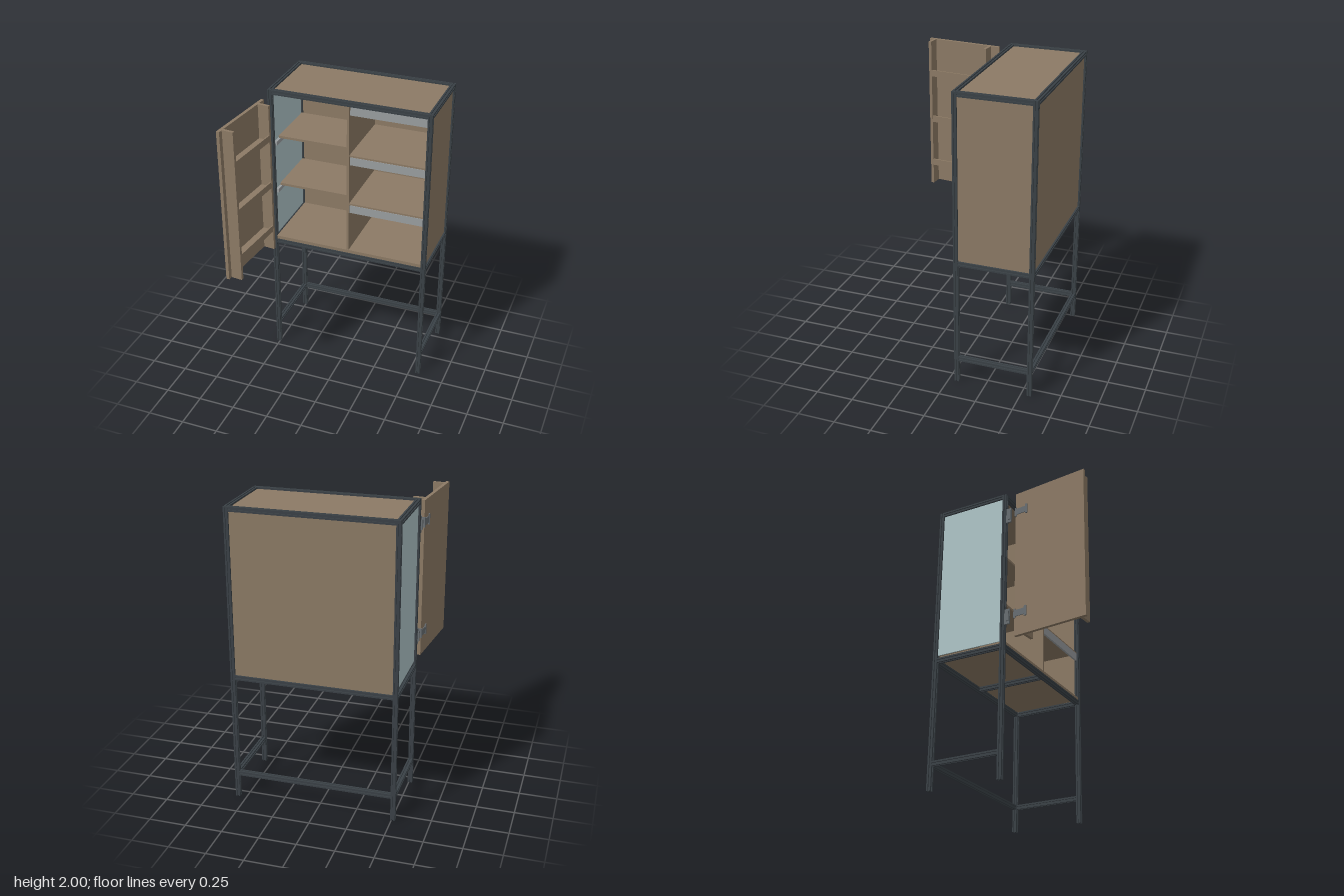
import * as THREE from 'three';

const mat = (name, color) => Object.assign(new THREE.MeshStandardMaterial({ color }), { name });

export function createModel() {
  const wood = mat('wood', 0x8c7a65);
  const metal = mat('dark metal', 0x3a4146);
  const glass = mat('pale glass', 0xb0c6c9);
  const silver = mat('silver', 0x9a9ea0);
  const hingeGrey = mat('hinge grey', 0x686e72);

  const model = new THREE.Group();
  model.name = 'cabinet';

  // Box given by its limits on each axis
  const box = (parent, name, material, [x0, x1], [y0, y1], [z0, z1]) => {
    const mesh = new THREE.Mesh(new THREE.BoxGeometry(x1 - x0, y1 - y0, z1 - z0), material);
    mesh.position.set((x0 + x1) / 2, (y0 + y1) / 2, (z0 + z1) / 2);
    mesh.name = name;
    parent.add(mesh);
    return mesh;
  };

  // Slotted square bar section with a centre bore
  const W = 0.0305, H = W / 2, S = 0.004, D = 0.007;
  const section = new THREE.Shape();
  for (let i = 0; i < 4; i++) {
    const c = Math.round(Math.cos(i * Math.PI / 2)), s = Math.round(Math.sin(i * Math.PI / 2));
    for (const [x, y] of [[H, -H], [H, -S], [H - D, -S], [H - D, S], [H, S]]) {
      const px = x * c - y * s, py = x * s + y * c;
      if (i === 0 && y === -H) section.moveTo(px, py);
      else section.lineTo(px, py);
    }
  }
  section.closePath();
  section.holes.push(new THREE.Path().absarc(0, 0, 0.003, 0, Math.PI * 2, true));

  const frame = new THREE.Group();
  frame.name = 'frame';
  model.add(frame);
  const bar = (name, axis, length, x, y, z) => {
    const geo = new THREE.ExtrudeGeometry(section, { depth: length, bevelEnabled: false, curveSegments: 4 });
    geo.translate(0, 0, -length / 2);
    if (axis === 'x') geo.rotateY(Math.PI / 2);
    if (axis === 'y') geo.rotateX(-Math.PI / 2);
    const mesh = new THREE.Mesh(geo, metal);
    mesh.position.set(x, y, z);
    mesh.name = name;
    frame.add(mesh);
  };

  // Post centre lines
  const xL = -0.523 + H, xR = 0.576 - H, zF = -0.041 - H, zB = -0.569 + H;
  const xM = (xL + xR) / 2, zM = (zF + zB) / 2;
  const spanX = xR - xL - W, spanZ = zF - zB - W;
  const yTop = 2 - H, yFloor = 0.875, yLow = 0.175;

  for (const x of [xL, xR]) for (const z of [zF, zB]) bar('post', 'y', 2, x, 1, z);
  for (const y of [yTop, yFloor]) for (const z of [zF, zB]) bar('crossRail', 'x', spanX, xM, y, z);
  for (const y of [yTop, yFloor, yLow]) for (const x of [xL, xR]) bar('sideRail', 'z', spanZ, x, y, zM);
  bar('backStretcher', 'x', spanX, xM, yLow, zB);
  bar('middleFloorRail', 'z', spanZ, xM, yFloor, zM);

  // Panels held in the slots
  const T = 0.0038, inX = [xL + 0.01, xR - 0.01], inZ = [zB + 0.01, zF - 0.01], inY = [0.88, 1.98];
  box(model, 'topPanel', wood, inX, [yTop - T, yTop + T], inZ);
  box(model, 'backPanel', wood, inX, inY, [zB - T, zB + T]);
  box(model, 'rightWallPanel', wood, [xR - T, xR + T], inY, inZ);
  box(model, 'glassSide', glass, [xL - T, xL + T], [0.912, 1.98], inZ);

  // Inside of the cabinet
  box(model, 'floor', wood, [xL + H, xR - H], [0.8905, 0.913], [zB + H, -0.046]);
  box(model, 'divider', wood, [0.018, 0.034], [0.913, 1.968], [zB + T, -0.05]);
  for (const y of [1.635, 1.28]) {
    box(model, 'leftShelf', wood, [-0.497, 0.018], [y - 0.016, y], [-0.53, -0.14]);
    box(model, 'shelfSupport', silver, [-0.503, -0.485], [y - 0.045, y - 0.018], [-0.53, -0.085]);
  }
  for (const y of [1.626, 1.271]) box(model, 'rightShelf', wood, [0.034, xR - T], [y - 0.012, y], [zB + T, -0.055]);
  for (const y of [1.964, 1.614, 1.259]) box(model, 'frontStrip', silver, [0.04, 0.542], [y - 0.056, y], [-0.066, -0.052]);

  // Open door, swung about its hinge edge
  const door = new THREE.Group();
  door.name = 'door';
  door.position.set(-0.5185, 0, 0.038);
  door.rotation.y = -0.1;
  model.add(door);
  const doorY = [0.915, 1.967];
  box(door, 'doorSlab', wood, [-0.011, 0.011], doorY, [0, 0.526]);
  for (const z of [0.058, 0.476]) box(door, 'doorRackSide', wood, [0.011, 0.087], doorY, [z, z + 0.02]);
  for (const y of [1.72, 1.385, 1.055]) {
    box(door, 'doorShelf', wood, [0.011, 0.077], [y, y + 0.012], [0.078, 0.476]);
    box(door, 'doorShelfLip', wood, [0.077, 0.086], [y, y + 0.045], [0.078, 0.476]);
  }

  // Hinges: plate and arm on the post, cup and strap on the door
  for (const y of [1.825, 1.07]) {
    box(model, 'hingePostPlate', hingeGrey, [-0.521, -0.511], [y - 0.053, y + 0.053], [-0.041, -0.004]);
    box(model, 'hingePostArm', hingeGrey, [-0.53, -0.507], [y - 0.035, y + 0.035], [-0.022, -0.008]);
    box(door, 'hingeDoorPlate', hingeGrey, [-0.016, 0.018], [y - 0.033, y + 0.033], [-0.002, 0.01]);
    box(door, 'hingePin', hingeGrey, [-0.004, 0.001], [y - 0.02, y + 0.02], [-0.016, 0]);
    box(door, 'hingeStrap', hingeGrey, [-0.016, -0.011], [y - 0.022, y + 0.022], [0.01, 0.09]);
    box(door, 'hingeStrapEnd', hingeGrey, [-0.019, -0.011], [y - 0.035, y + 0.035], [0.078, 0.094]);
  }

  return model;
}
